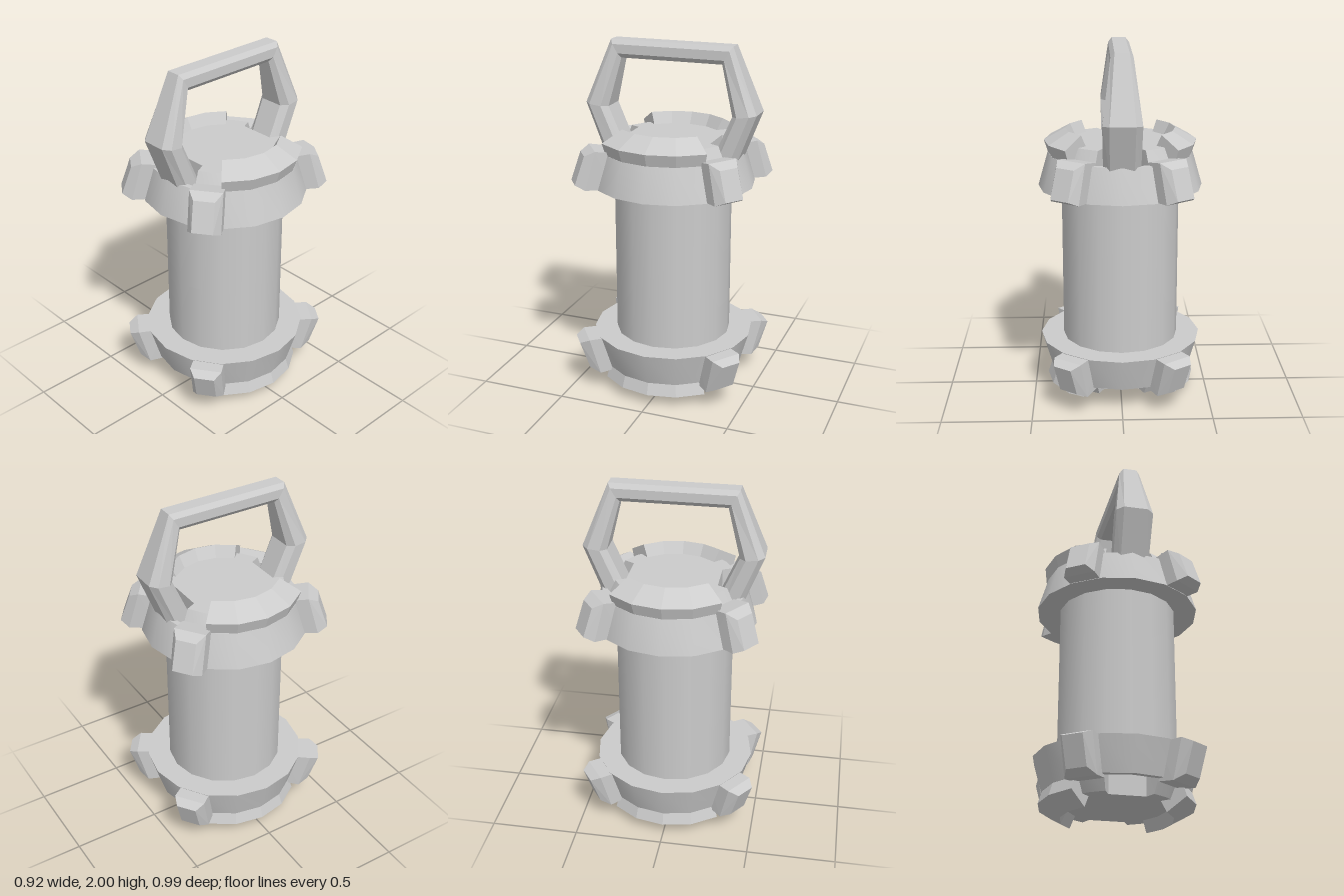
import * as THREE from 'three';
import { toCreasedNormals } from 'three/addons/utils/BufferGeometryUtils.js';
import { ConvexGeometry } from 'three/addons/geometries/ConvexGeometry.js';

const smooth = new THREE.MeshStandardMaterial({ color: 0xcccccc });
const flat = new THREE.MeshStandardMaterial({ color: 0xcccccc, flatShading: true });
const thin = new THREE.MeshStandardMaterial({ color: 0xcccccc, flatShading: true, side: THREE.DoubleSide });

const SIDES = 16;
const HEIGHT = 1.55; // canister without its handle
const vec2 = (list) => list.map(([x, y]) => new THREE.Vector2(x, y));

function part(parent, name, geometry, material) {
  const mesh = new THREE.Mesh(geometry, material);
  mesh.name = name;
  parent.add(mesh);
  return mesh;
}

// Flared collar with a shallow recess in its top
function collarGeometry() {
  const profile = vec2([[0, 1.22], [0.46, 1.22], [0.405, 1.41], [0.375, 1.41], [0.365, 1.36], [0, 1.36]]);
  return toCreasedNormals(new THREE.LatheGeometry(profile, SIDES), 0.6);
}

// Disc with bevelled rim and a notch at front and back
function discGeometry() {
  const r = 0.39, top = 0.33, depth = 0.12;
  const start = Math.atan2(0.36, 0.15);
  const points = [];
  for (const turn of [0, Math.PI]) {
    const s = Math.cos(turn);
    points.push([0.15 * s, 0.36 * s], [0.1 * s, 0.25 * s], [-0.1 * s, 0.25 * s], [-0.15 * s, 0.36 * s]);
    const from = Math.PI - start + turn, sweep = 2 * start;
    for (let i = 1; i < 8; i++) {
      const a = from + (sweep * i) / 8;
      points.push([r * Math.cos(a), r * Math.sin(a)]);
    }
  }
  const geometry = new THREE.ExtrudeGeometry(new THREE.Shape(vec2(points)), { depth, bevelEnabled: false });
  const p = geometry.attributes.position;
  for (let i = 0; i < p.count; i++) {
    const d = Math.hypot(p.getX(i), p.getY(i));
    if (p.getZ(i) > depth / 2 && d > top) p.setXY(i, (p.getX(i) * top) / d, (p.getY(i) * top) / d);
  }
  geometry.rotateX(-Math.PI / 2).translate(0, 1.36, 0);
  return toCreasedNormals(geometry, 0.5);
}

// Quarter ridge on each side of the cap, closed at both ends
function addRidge(parent, heading) {
  const profile = vec2([[0.27, 1.4], [0.4, 1.4], [0.425, 1.478], [0.305, 1.545], [0.27, 1.48], [0.27, 1.4]]);
  const ridge = new THREE.Group();
  ridge.name = 'sideRidge';
  part(ridge, 'ridgeBody', new THREE.LatheGeometry(profile, 4, heading - Math.PI / 4, Math.PI / 2), thin);
  for (const side of [-1, 1]) {
    const end = part(ridge, 'ridgeEnd', new THREE.ShapeGeometry(new THREE.Shape(profile)), thin);
    end.rotation.y = heading + (side * Math.PI) / 4 - Math.PI / 2;
  }
  parent.add(ridge);
}

// Chamfered clamp block, its outer face leaning outwards to the bottom
function clampGeometry() {
  const points = [];
  for (const s of [-1, 1]) {
    for (const [t, y, r] of [
      [0.085, 1.425, 0.36], [0.085, 1.22, 0.36],
      [0.09, 1.44, 0.46], [0.09, 1.225, 0.52],
      [0.057, 1.41, 0.515], [0.057, 1.25, 0.57],
    ]) points.push(new THREE.Vector3(s * t, y, r));
  }
  return new ConvexGeometry(points);
}

// One end assembly; the lower one is the same, turned over
function makeEnd(name) {
  const end = new THREE.Group();
  end.name = name;
  part(end, 'collar', collarGeometry(), smooth);
  part(end, 'notchedDisc', discGeometry(), smooth);
  addRidge(end, Math.PI / 2);
  addRidge(end, -Math.PI / 2);
  const clamp = clampGeometry();
  const yaw = THREE.MathUtils.degToRad(35.5);
  for (const a of [yaw, -yaw, Math.PI - yaw, Math.PI + yaw]) {
    part(end, 'clamp', clamp, flat).rotation.y = a;
  }
  return end;
}

// Bail handle lofted through chamfered sections: inner z,y, outer z,y, half width
function handleGeometry() {
  const half = [
    [0.25, 1.38, 0.385, 1.36, 0.1],
    [0.36, 1.63, 0.495, 1.645, 0.105],
    [0.29, 1.9, 0.35, 2.0, 0.06],
  ];
  const mirrored = half.map(([iz, iy, oz, oy, w]) => [-iz, iy, -oz, oy, w]).reverse();
  const ring = [[-0.65, 1], [0.65, 1], [1, 0.5], [1, -0.5], [0.65, -1], [-0.65, -1], [-1, -0.5], [-1, 0.5]];
  const sections = [...half, ...mirrored];
  const n = ring.length, position = [], index = [];
  sections.forEach(([iz, iy, oz, oy, w], s) => {
    for (const [fx, fu] of ring) {
      const k = (fu + 1) / 2;
      position.push(fx * w, iy + (oy - iy) * k, iz + (oz - iz) * k);
    }
    if (s === sections.length - 1) return;
    for (let j = 0; j < n; j++) {
      const a = s * n + j, b = s * n + ((j + 1) % n);
      index.push(a, b, a + n, b, b + n, a + n);
    }
  });
  const geometry = new THREE.BufferGeometry();
  geometry.setAttribute('position', new THREE.Float32BufferAttribute(position, 3));
  geometry.setIndex(index);
  geometry.computeVertexNormals();
  return geometry;
}

export function createModel() {
  const model = new THREE.Group();
  model.name = 'canister';

  // Plain barrel between the two ends
  const barrel = new THREE.CylinderGeometry(0.33, 0.33, 0.92, SIDES, 1, true);
  part(model, 'barrel', barrel, smooth).position.y = HEIGHT / 2;

  model.add(makeEnd('upperEnd'));
  const lower = makeEnd('lowerEnd');
  lower.rotation.z = Math.PI;
  lower.position.y = HEIGHT;
  model.add(lower);

  part(model, 'handle', handleGeometry(), flat);
  return model;
}
